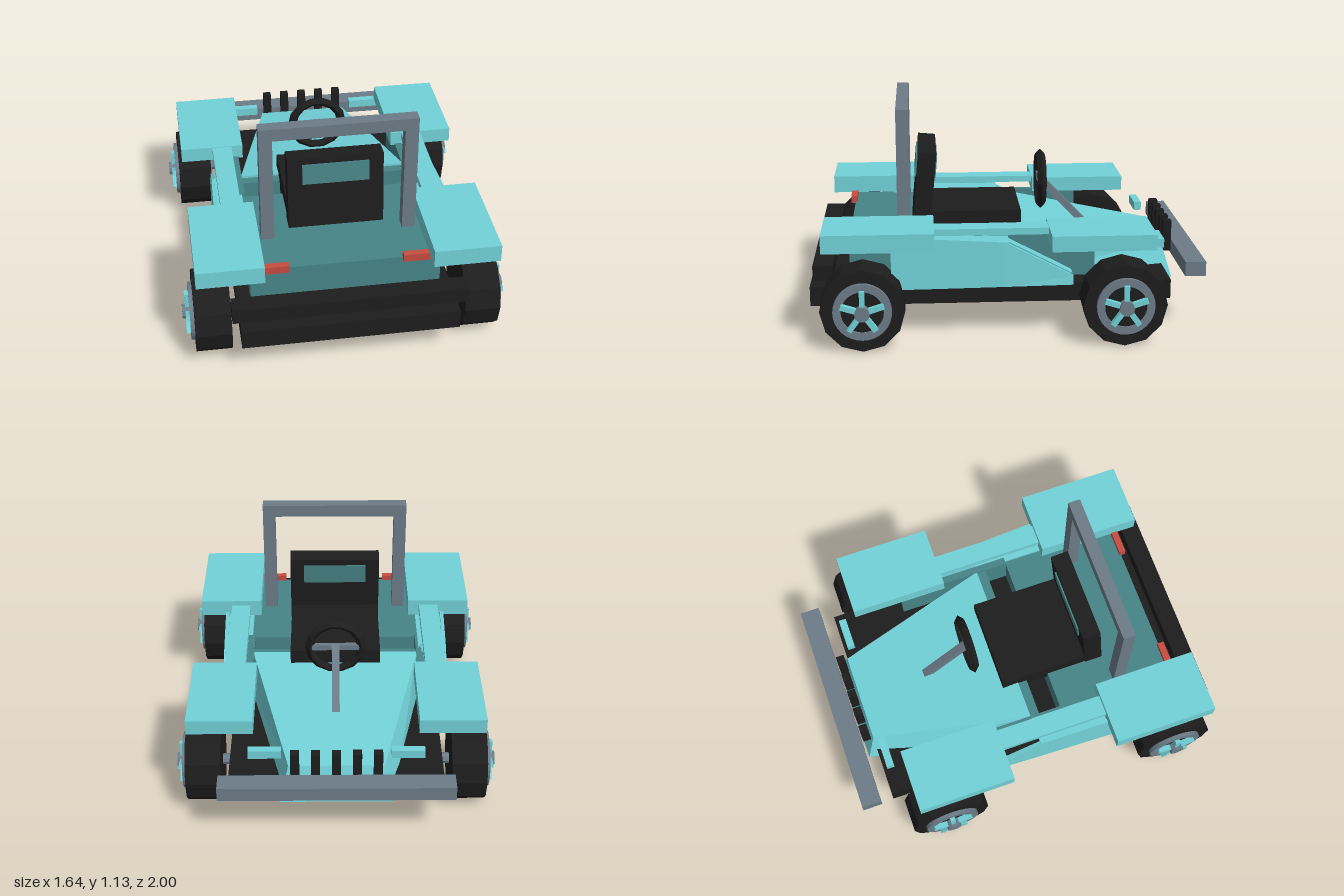
import * as THREE from 'three';

const mat = (name, color) =>
  Object.assign(new THREE.MeshStandardMaterial({ color, flatShading: true }), { name });

export function createModel() {
  const teal = mat('teal paint', 0x71d2d8);
  const darkTeal = mat('dark teal', 0x478487);
  const black = mat('black', 0x1d1d1d);
  const grey = mat('steel grey', 0x6c7c88);
  const red = mat('red lens', 0xc64c41);

  const model = new THREE.Group();
  model.name = 'openBuggy';

  const add = (name, geometry, material, parent = model) => {
    const mesh = new THREE.Mesh(geometry, material);
    mesh.name = name;
    parent.add(mesh);
    return mesh;
  };
  // box given by its lower and upper limits on each axis
  const box = (name, material, [x0, x1], [y0, y1], [z0, z1], parent = model) => {
    const m = add(name, new THREE.BoxGeometry(x1 - x0, y1 - y0, z1 - z0), material, parent);
    m.position.set((x0 + x1) / 2, (y0 + y1) / 2, (z0 + z1) / 2);
    return m;
  };
  // the same box on one side (s = 1 or -1)
  const sideBox = (name, material, s, [x0, x1], y, z) =>
    box(name, material, s > 0 ? [x0, x1] : [-x1, -x0], y, z);
  // reshape the vertices of a unit box by a rule
  const shaped = (segZ, rule) => {
    const g = new THREE.BoxGeometry(1, 1, 1, 1, 1, segZ);
    const p = g.attributes.position;
    for (let i = 0; i < p.count; i++) p.setXYZ(i, ...rule(p.getX(i), p.getY(i), p.getZ(i)));
    g.computeVertexNormals();
    return g;
  };

  // Chassis and bumpers
  box('chassis', black, [-0.545, 0.545], [0.165, 0.265], [-0.83, 1]);
  box('rearBumper', black, [-0.585, 0.585], [0.31, 0.387], [0.88, 0.98]);
  box('frontBumper', grey, [-0.585, 0.585], [0.295, 0.37], [-1, -0.895]);

  // Tub, cockpit floor and dash
  box('rearTub', darkTeal, [-0.478, 0.478], [0.28, 0.482], [0.17, 0.8]);
  box('cockpitFloor', black, [-0.44, 0.44], [0.265, 0.32], [0.04, 0.18]);
  box('dashPanel', darkTeal, [-0.455, 0.455], [0.27, 0.485], [-0.03, 0.05]);

  // Hood, tapering towards a sloped nose
  add('hood', shaped(1, (x, y, z) => {
    const nose = z < 0, top = y > 0;
    const half = nose ? (top ? 0.24 : 0.285) : (top ? 0.445 : 0.465);
    return [Math.sign(x) * half,
      nose ? (top ? 0.375 : 0.19) : (top ? 0.497 : 0.26),
      nose ? (top ? -0.83 : -0.885) : 0];
  }), teal);

  // Grille bars
  for (let i = -2; i <= 2; i++) {
    const x = i * 0.103;
    box('grilleBar', black, [x - 0.022, x + 0.022], [0.32, 0.485], [-0.887, -0.843]);
  }

  // Side section stations from front to rear: z, top, outer x
  const stations = [[-0.325, 0.312, 0.592], [0.02, 0.498, 0.605], [0.36, 0.522, 0.615], [0.59, 0.505, 0.62]];

  for (const s of [1, -1]) {
    // Fenders and body sides
    sideBox('rearFender', teal, s, [0.415, 0.75], [0.5, 0.592], [0.375, 0.925]);
    sideBox('frontFender', teal, s, [0.415, 0.75], [0.488, 0.567], [-0.717, -0.2]);
    sideBox('sideRail', teal, s, [0.475, 0.58], [0.53, 0.564], [-0.21, 0.38]);
    sideBox('innerSide', darkTeal, s, [0.44, 0.478], [0.28, 0.497], [-0.445, 0.17]);
    sideBox('sideShelf', teal, s, [0.455, 0.6], [0.485, 0.497], [0, 0.585]);
    sideBox('sideFiller', darkTeal, s, [0.54, 0.602], [0.387, 0.485], [0.1, 0.58]);
    add('sideSill', shaped(3, (x, y, z) => {
      const [zs, top] = stations[Math.round((z + 0.5) * 3)];
      return [s * (x * s < 0 ? 0.46 : y > 0 ? 0.545 : 0.5), y > 0 ? Math.min(top, 0.495) : 0.267, zs];
    }), teal);
    add('sidePanel', shaped(3, (x, y, z) => {
      const [zs, top, outer] = stations[Math.round((z + 0.5) * 3)];
      return [s * (outer + (x * s > 0 ? 0 : -0.02) + (y > 0 ? 0 : 0.006)), y > 0 ? top : 0.267, zs];
    }), teal);

    // Lamps
    sideBox('tailLight', red, s, [0.285, 0.435], [0.47, 0.51], [0.79, 0.825]);
    sideBox('headlightBar', teal, s, [0.275, 0.44], [0.405, 0.45], [-0.81, -0.77]);

    // Roll bar posts
    sideBox('rollBarPost', grey, s, [0.328, 0.395], [0.47, 1.07], [0.493, 0.557]);
  }
  box('rollBarTop', grey, [-0.395, 0.395], [1.065, 1.132], [0.493, 0.557]);

  // Seat
  box('seatCushion', black, [-0.24, 0.24], [0.43, 0.562], [-0.085, 0.42]);
  const seatBack = new THREE.Group();
  seatBack.name = 'seatBack';
  seatBack.position.set(0, 0.48, 0.435);
  seatBack.rotation.x = -0.09;
  model.add(seatBack);
  box('backrest', black, [-0.245, 0.245], [0, 0.395], [-0.047, 0.047], seatBack);
  box('headPad', darkTeal, [-0.17, 0.17], [0.25, 0.36], [-0.055, 0.055], seatBack);

  // Steering wheel and column
  const wheelRim = add('steeringWheel', new THREE.TorusGeometry(0.136, 0.024, 4, 14), black);
  wheelRim.position.set(0, 0.67, -0.207);
  box('steeringSpoke', grey, [-0.135, 0.135], [0.655, 0.685], [-0.22, -0.195]);
  const column = add('steeringColumn', new THREE.BoxGeometry(0.04, 0.036, 0.36), grey);
  column.position.set(0, 0.55, -0.325);
  column.rotation.x = -0.8;

  // Wheels: the axis of every turned part lies along x
  const disc = (name, material, r, x0, x1, sides, parent) => {
    const g = new THREE.CylinderGeometry(r, r, x1 - x0, sides).rotateZ(Math.PI / 2);
    const m = add(name, g, material, parent);
    m.position.x = (x0 + x1) / 2;
    return m;
  };
  const ringShape = new THREE.Shape().absarc(0, 0, 0.145, 0, Math.PI * 2);
  ringShape.holes.push(new THREE.Path().absarc(0, 0, 0.105, 0, Math.PI * 2, true));
  const ringGeometry = new THREE.ExtrudeGeometry(ringShape,
    { depth: 0.025, bevelEnabled: false, curveSegments: 16 }).rotateY(Math.PI / 2);

  for (const z of [0.73, -0.565]) {
    const axle = disc('axle', grey, 0.028, -0.6, 0.6, 8, model);
    axle.position.set(0, 0.212, z);
    for (const s of [1, -1]) {
      const wheel = new THREE.Group();
      wheel.name = 'wheel';
      wheel.position.set(0, 0.21, z);
      wheel.rotation.y = s > 0 ? 0 : Math.PI;
      model.add(wheel);
      disc('tyre', black, 0.21, 0.585, 0.765, 12, wheel);
      disc('wheelDisc', black, 0.11, 0.76, 0.775, 16, wheel);
      add('rimRing', ringGeometry, grey, wheel).position.x = 0.76;
      for (let i = 0; i < 5; i++) {
        const spoke = new THREE.Group();
        spoke.name = 'spoke';
        spoke.rotation.x = i * Math.PI * 2 / 5;
        wheel.add(spoke);
        box('spokeBar', teal, [0.772, 0.805], [0.025, 0.112], [-0.013, 0.013], spoke);
      }
      disc('hub', grey, 0.038, 0.765, 0.82, 10, wheel);
    }
  }
  return model;
}
